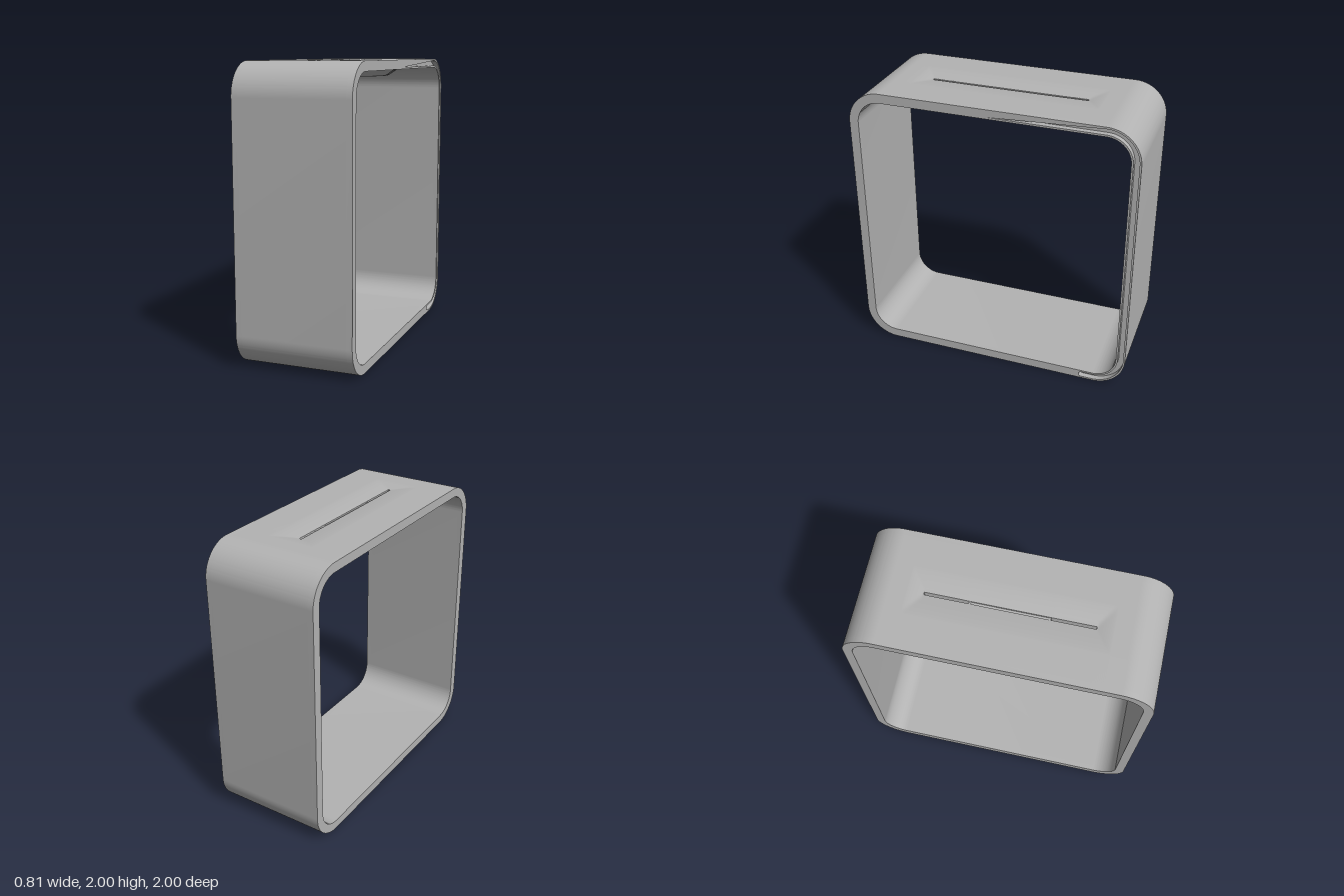
import * as THREE from 'three';
import { toCreasedNormals } from 'three/addons/utils/BufferGeometryUtils.js';

const HALF_W = 0.405, RIM = 0.365;      // outer face and groove floor, along x
const R = 0.23, THICK = 0.065, C = 1 - R; // corner radius, wall, straight half length
const TOP = 2, UNDER = TOP - THICK, RIDGE = 0.048, POCKET_R = 0.23, POCKET_Y = 1.965;
const SLOT_X = 0.009, SLOT_Z = 0.55;

const clamp = (v) => Math.min(1, Math.max(0, v));
const smooth = (v) => { const t = clamp(v); return t * t * (3 - 2 * t); };

// Rounded square outline, set in by o
function outline(path, o) {
  const r = R - o;
  path.absarc(C, 2 - R, r, Math.PI / 2, 0, true);
  path.absarc(C, R, r, 0, -Math.PI / 2, true);
  path.absarc(-C, R, r, -Math.PI / 2, -Math.PI, true);
  path.absarc(-C, 2 - R, r, Math.PI, Math.PI / 2, true);
  path.closePath();
  return path;
}

// Extrude a side profile (horizontal axis = -z) from x0 to x1
function extrudeX(shape, x0, x1) {
  const g = new THREE.ExtrudeGeometry(shape, { depth: x1 - x0, bevelEnabled: false, curveSegments: 20 });
  g.translate(0, 0, x0);
  g.rotateY(Math.PI / 2);
  return toCreasedNormals(g, 0.5);
}

// Grid surface from a point rule, with optional skipped cells
function surface(nu, nv, point, skip = () => false) {
  const pos = [], idx = [];
  for (let j = 0; j <= nv; j++) for (let i = 0; i <= nu; i++) pos.push(...point(i, j));
  for (let j = 0; j < nv; j++) for (let i = 0; i < nu; i++) {
    if (skip(i, j)) continue;
    const a = j * (nu + 1) + i, b = a + 1, c = a + nu + 1, d = c + 1;
    idx.push(a, c, b, b, c, d);
  }
  const g = new THREE.BufferGeometry();
  g.setAttribute('position', new THREE.Float32BufferAttribute(pos, 3));
  g.setIndex(idx);
  g.computeVertexNormals();
  return g;
}

export function createModel() {
  const model = new THREE.Group();
  const grey = new THREE.MeshStandardMaterial({ color: 0xb3b3b3, side: THREE.DoubleSide });
  grey.name = 'grey';
  const add = (name, geometry, x = 0, y = 0, z = 0) => {
    const m = new THREE.Mesh(geometry, grey);
    m.name = name;
    m.position.set(x, y, z);
    model.add(m);
    return m;
  };
  const box = (name, w, h, d, x, y, z) => add(name, new THREE.BoxGeometry(w, h, d), x, y, z);

  // Plain rim on the right
  const ring = outline(new THREE.Shape(), 0);
  ring.holes.push(outline(new THREE.Path(), THICK));
  add('plainRim', extrudeX(ring, -HALF_W, -RIM));

  // Rim on the left with the cable groove running round the back
  const grooved = outline(new THREE.Shape(), 0);
  grooved.holes.push(outline(new THREE.Path(), THICK));
  const groove = new THREE.Path(), a = 0.013, b = 0.052;
  groove.moveTo(-0.015, TOP - a);
  groove.absarc(C, 2 - R, R - a, Math.PI / 2, 0, true);
  groove.absarc(C, R, R - a, 0, -Math.PI / 2, true);
  groove.lineTo(0.69, a);
  groove.absarc(0.69, (a + b) / 2, (b - a) / 2, -Math.PI / 2, -Math.PI * 1.5, true);
  groove.absarc(C, R, R - b, -Math.PI / 2, 0, false);
  groove.absarc(C, 2 - R, R - b, 0, Math.PI / 2, false);
  groove.lineTo(-0.015, TOP - b);
  groove.closePath();
  grooved.holes.push(groove);
  add('groovedRim', extrudeX(grooved, RIM, HALF_W));

  // Main band, open at the top where the dished panel sits
  const band = new THREE.Shape(), ri = R - THICK;
  band.absarc(C, 2 - R, R, Math.PI / 2, 0, true);
  band.absarc(C, R, R, 0, -Math.PI / 2, true);
  band.absarc(-C, R, R, -Math.PI / 2, -Math.PI, true);
  band.absarc(-C, 2 - R, R, Math.PI, Math.PI / 2, true);
  band.absarc(-C, 2 - R, ri, Math.PI / 2, Math.PI, false);
  band.absarc(-C, R, ri, Math.PI, Math.PI * 1.5, false);
  band.absarc(C, R, ri, -Math.PI / 2, 0, false);
  band.absarc(C, 2 - R, ri, 0, Math.PI / 2, false);
  band.closePath();
  add('band', extrudeX(band, -RIM, RIM));

  // Dished top panel with a slot along its valley
  const side = [SLOT_X];
  for (let i = 1; i <= 12; i++) side.push(SLOT_X + (0.17 - SLOT_X) * i / 12);
  side.push(RIM);
  const xs = [...side.map((v) => -v).reverse(), ...side];
  const half = [0, 0.27, SLOT_Z];
  for (let i = 1; i <= 10; i++) half.push(SLOT_Z + 0.011 * i);
  half.push(C);
  const zs = [...half.slice(1).map((v) => -v).reverse(), ...half];
  const topY = (x, z) => {
    const f = clamp(Math.min(1 - Math.abs(x) / 0.17, (0.66 - Math.abs(z)) / 0.12));
    return TOP - 0.02 * Math.pow(f, 1.5);
  };
  const isSlot = (i, j) => Math.abs(xs[i] + xs[i + 1]) < 1e-6 && Math.abs(zs[j] + zs[j + 1]) / 2 < SLOT_Z;
  add('topPanel', surface(xs.length - 1, zs.length - 1,
    (i, j) => [xs[i], topY(xs[i], zs[j]), zs[j]], isSlot));
  box('grooveFloor', 0.01, THICK - 0.002, 2 * C, RIM - 0.005, TOP - THICK / 2, 0);

  // Slot floors and walls: shallow over the pocket, deep at both ends
  for (const [z, len, floor] of [[0, 0.5, 1.969], [0.4, 0.3, 1.91], [-0.4, 0.3, 1.91]]) {
    box('slotFloor', 2 * SLOT_X, 0.003, len, 0, floor, z);
    for (const s of [-1, 1]) {
      box('slotWall', 0.002, 1.981 - floor, len, s * (SLOT_X + 0.001), (1.981 + floor) / 2, z);
    }
    if (z === 0) continue;
    const s = Math.sign(z);
    for (const pz of [0.37, 0.49]) {
      add('slotPin', new THREE.CylinderGeometry(0.008, 0.008, 0.01, 12), 0, floor + 0.005, s * pz);
    }
    box('slotEnd', 2 * SLOT_X, 1.981 - floor, 0.002, 0, (1.981 + floor) / 2, s * SLOT_Z);
    box('slotStop', 2 * SLOT_X, 1.975 - floor, 0.012, 0, (1.975 + floor) / 2, s * 0.256);
  }

  // Underside: a long ridge and a round boss, with a notch leading to the groove
  const bossY = (x, z) => {
    const ridge = smooth((0.11 - Math.abs(x)) / 0.06) * Math.sin(clamp((0.765 - Math.abs(z)) / 0.11) * Math.PI / 2);
    const boss = smooth((0.36 - Math.hypot(x, z)) / 0.1);
    return UNDER - RIDGE * Math.max(ridge, boss);
  };
  const nx = 48, nz = 120, nr = 44;
  const rectPoint = (k) => { // walk round the panel edge from the +x, -z corner
    if (k <= nz) return [RIM, -C + 2 * C * k / nz];
    k -= nz;
    if (k <= nx) return [RIM - 2 * RIM * k / nx, C];
    k -= nx;
    if (k <= nz) return [-RIM, C - 2 * C * k / nz];
    k -= nz;
    return [-RIM + 2 * RIM * k / nx, -C];
  };
  add('undersideBoss', surface(2 * (nx + nz), nr, (k, j) => {
    const [px, pz] = rectPoint(k), len = Math.hypot(px, pz), t = j / nr;
    const x = THREE.MathUtils.lerp(px / len * POCKET_R, px, t);
    const z = THREE.MathUtils.lerp(pz / len * POCKET_R, pz, t);
    const notch = x > 0 && Math.abs(z) < 0.002;
    return [x, notch ? 1.965 : bossY(x, z), z];
  }));

  // Round pocket in the boss
  const low = UNDER - RIDGE;
  add('pocketWall', new THREE.CylinderGeometry(POCKET_R, POCKET_R, POCKET_Y - low, 64, 1, true),
    0, (POCKET_Y + low) / 2, 0);
  const ceiling = add('pocketCeiling', new THREE.CircleGeometry(POCKET_R, 64), 0, POCKET_Y, 0);
  ceiling.rotation.x = Math.PI / 2;

  return model;
}
